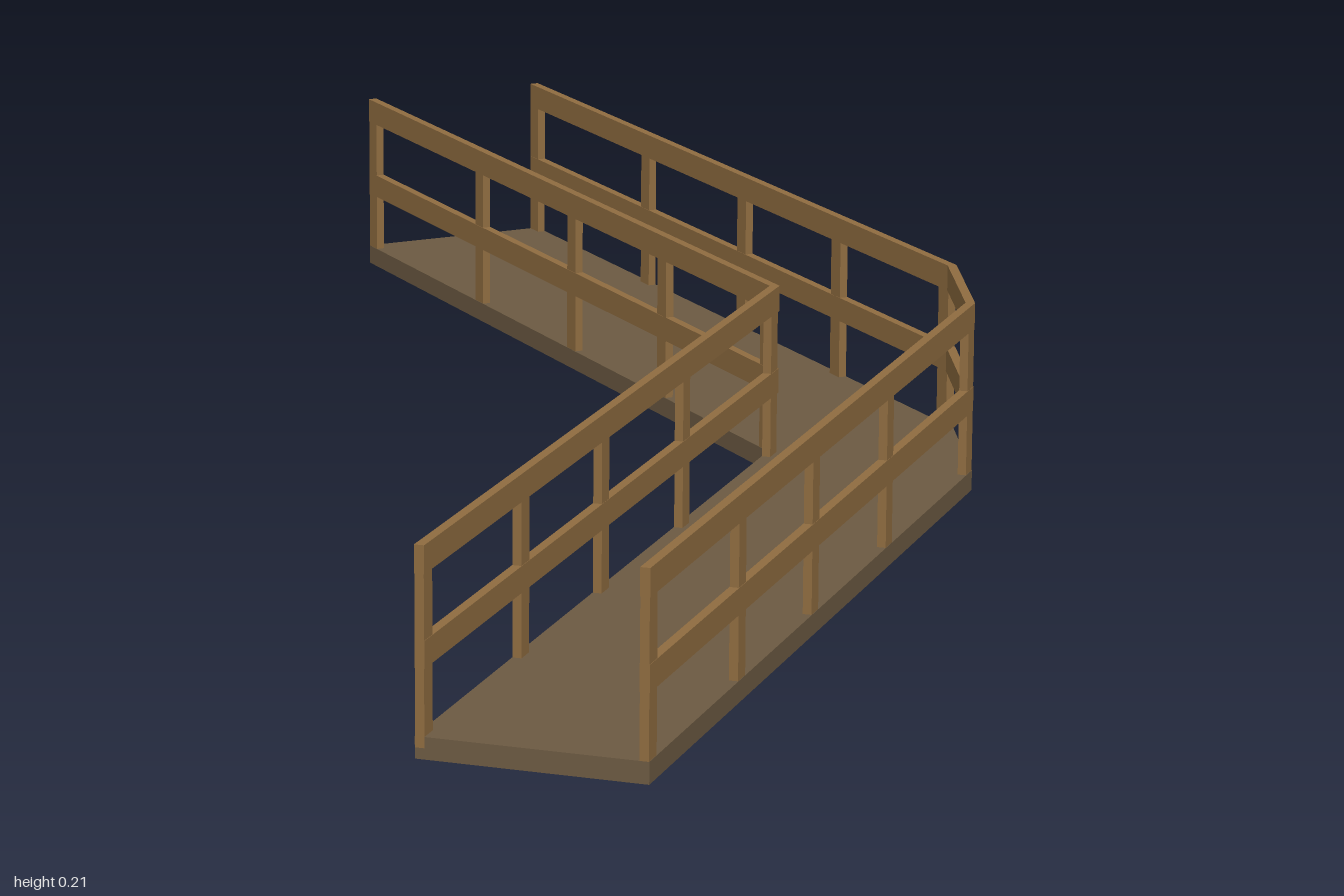
import * as THREE from 'three';

const T = 0.01;        // railing thickness
const POST_W = 0.022;  // post width along the railing
const DECK_H = 0.022, RAIL_TOP = 0.207;

const wood = new THREE.MeshStandardMaterial({ color: 0x8f6c40 });
const planks = new THREE.MeshStandardMaterial({ color: 0x6c5a42 });

const P = (x, z) => new THREE.Vector2(x, z);

// Plan outline (x, z) raised from y0 to y1
function slab(points, y0, y1, material, name) {
  const shape = new THREE.Shape(points.map(p => P(p.x, -p.y)));
  const geo = new THREE.ExtrudeGeometry(shape, { depth: y1 - y0, bevelEnabled: false });
  geo.rotateX(-Math.PI / 2);
  geo.translate(0, y0, 0);
  const mesh = new THREE.Mesh(geo, material);
  mesh.name = name;
  return mesh;
}

const direction = (a, b) => b.clone().sub(a).normalize();
const normal = (d, side) => P(-d.y * side, d.x * side);

// Path shifted sideways with mitred corners
function offsetPath(path, side, dist) {
  return path.map((p, i) => {
    const n0 = normal(direction(path[Math.max(i - 1, 0)], path[Math.max(i, 1)]), side);
    const last = path.length - 1;
    const n1 = normal(direction(path[Math.min(i, last - 1)], path[Math.min(i + 1, last)]), side);
    const m = n0.clone().add(n1).normalize();
    return p.clone().addScaledVector(m, dist / m.dot(n0));
  });
}

// Post standing s along the line a-b, kept inside both ends
function post(a, b, s, side) {
  const d = direction(a, b), n = normal(d, side), len = a.distanceTo(b);
  const along = Math.min(Math.max(s, POST_W / 2), len - POST_W / 2);
  const c = a.clone().addScaledVector(d, along).addScaledVector(n, T / 2);
  const h = RAIL_TOP - 0.01 - DECK_H / 2;
  const mesh = new THREE.Mesh(new THREE.BoxGeometry(POST_W, h, T * 0.92), wood);
  mesh.position.set(c.x, DECK_H / 2 + h / 2, c.y);
  mesh.rotation.y = -Math.atan2(d.y, d.x);
  mesh.name = 'post';
  return mesh;
}

// Two horizontal rails following the path, with posts on both long runs
function railing(path, side, name) {
  const group = new THREE.Group();
  group.name = name;
  const outline = [...path, ...offsetPath(path, side, T).reverse()];
  group.add(slab(outline, 0.088, 0.115, wood, 'middleRail'));
  group.add(slab(outline, 0.179, RAIL_TOP, wood, 'topRail'));
  const n = path.length;
  for (const s of [0, 0.325, 0.58, 0.815, 1.078]) group.add(post(path[0], path[1], s, side));
  for (const s of [0, 0.31, 0.565, 0.8, 1.075]) group.add(post(path[n - 2], path[n - 1], s, side));
  return group;
}

export function createModel() {
  const model = new THREE.Group();
  model.name = 'angledWalkway';

  // Plan: a straight run from the back, then a 45 degree turn
  const inner = [P(0.265, -1), P(0.265, 0.078), P(-0.495, 0.838)];
  const outer = [P(0.495, -1), P(0.495, 0.078), P(0.428, 0.24), P(-0.332, 1)];

  model.add(slab([...inner, ...outer.slice().reverse()], 0, DECK_H, planks, 'deck'));
  model.add(railing(inner, -1, 'innerRailing'));
  model.add(railing(outer, 1, 'outerRailing'));
  return model;
}
